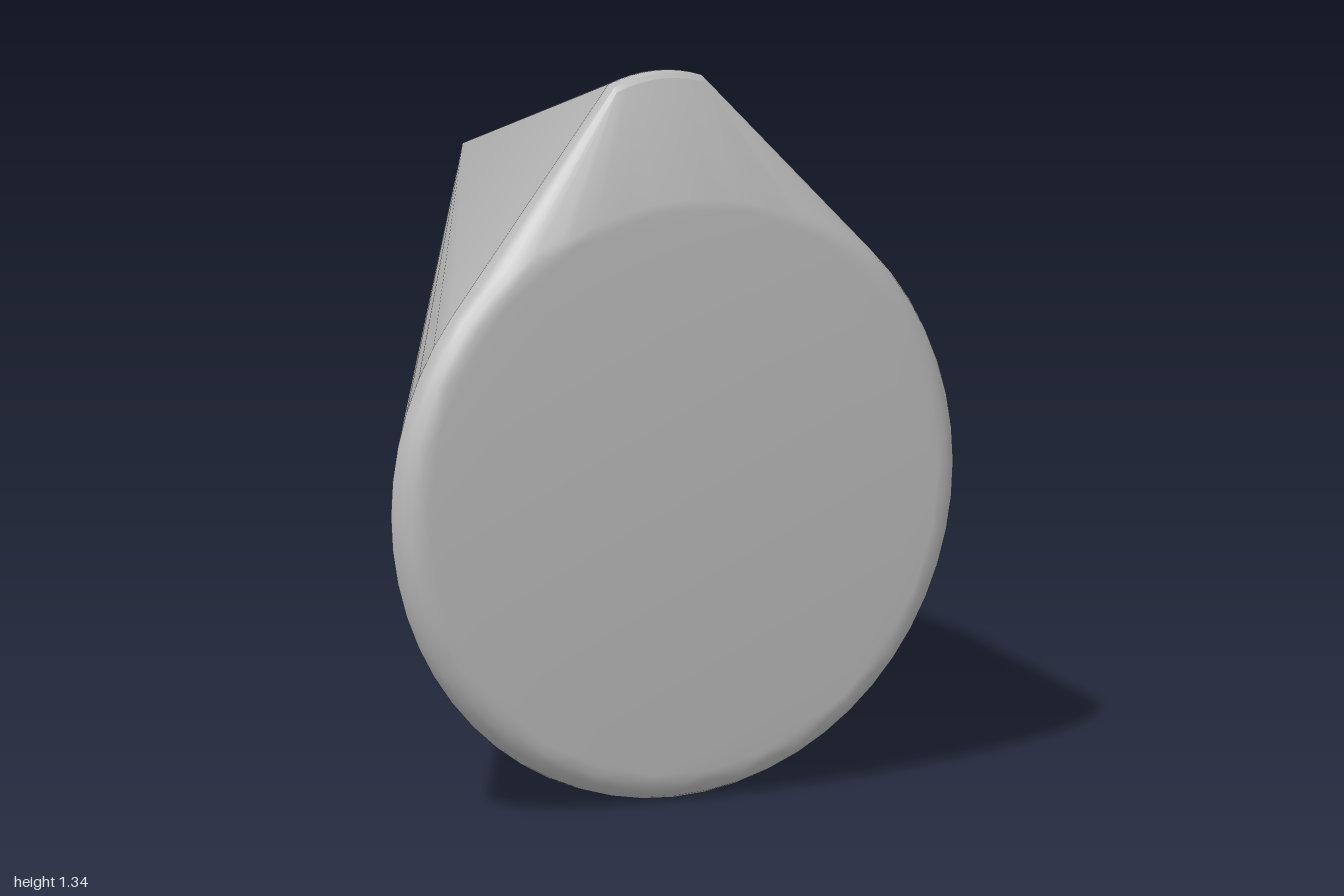
import * as THREE from 'three';
import { ConvexGeometry } from 'three/addons/geometries/ConvexGeometry.js';
import { toCreasedNormals } from 'three/addons/utils/BufferGeometryUtils.js';

export function createModel() {
  const group = new THREE.Group();
  const grey = new THREE.MeshStandardMaterial({ color: 0xb8b8b8 });
  grey.name = 'plain grey';
  const points = [];
  const add = (x, y, z) => points.push(new THREE.Vector3(x, y, z));

  // round front face with a softened rim
  const cx = -0.035, cy = 0.577, segments = 56, round = 0.05;
  for (let j = 0; j <= 5; j++) {
    const a = (j / 5) * Math.PI * 0.53;
    const r = 0.525 + round * Math.sin(a);
    const z = 0.95 + round * Math.cos(a);
    for (let i = 0; i < segments; i++) {
      const t = (i / segments) * Math.PI * 2;
      add(cx + r * Math.cos(t), cy + r * Math.sin(t), z);
    }
  }

  // slightly arched lip at the top
  for (let i = 0; i <= 8; i++) {
    const u = i / 4 - 1;
    const x = cx + 0.093 * u, drop = 0.017 * u * u;
    add(x, 1.33 - drop, 0.914);
    add(x, 1.338 - drop, 0.906);
    add(x, 1.342 - drop, 0.893);
    add(x, 1.34 - drop, 0.882);
  }

  // bowed side wall running back to the thin rear edge
  const bow = (y) => 0.608 - 0.8 * (y - 0.59) ** 2;
  const steps = 16;
  for (let i = 0; i <= steps; i++) {
    const y = 0.375 + (0.808 - 0.375) * (i / steps);
    add(bow(y), y, -1);
    const yf = 0.36 + (0.86 - 0.36) * (i / steps);
    add(bow(yf), yf, yf > 0.78 ? 0.42 - 2 * (yf - 0.78) : 0.43);
  }
  // rounded lower corners of the side wall
  for (let i = 0; i <= 5; i++) {
    const a = (i / 5) * Math.PI / 2;
    const y = 0.375 - 0.055 * Math.sin(a);
    add(bow(y), y, -0.945 - 0.055 * Math.cos(a));
    add(bow(y), y, 0.38 + 0.05 * Math.cos(a));
  }

  const body = new THREE.Mesh(toCreasedNormals(new ConvexGeometry(points), 0.35), grey);
  body.name = 'taperedBody';
  group.add(body);
  return group;
}
